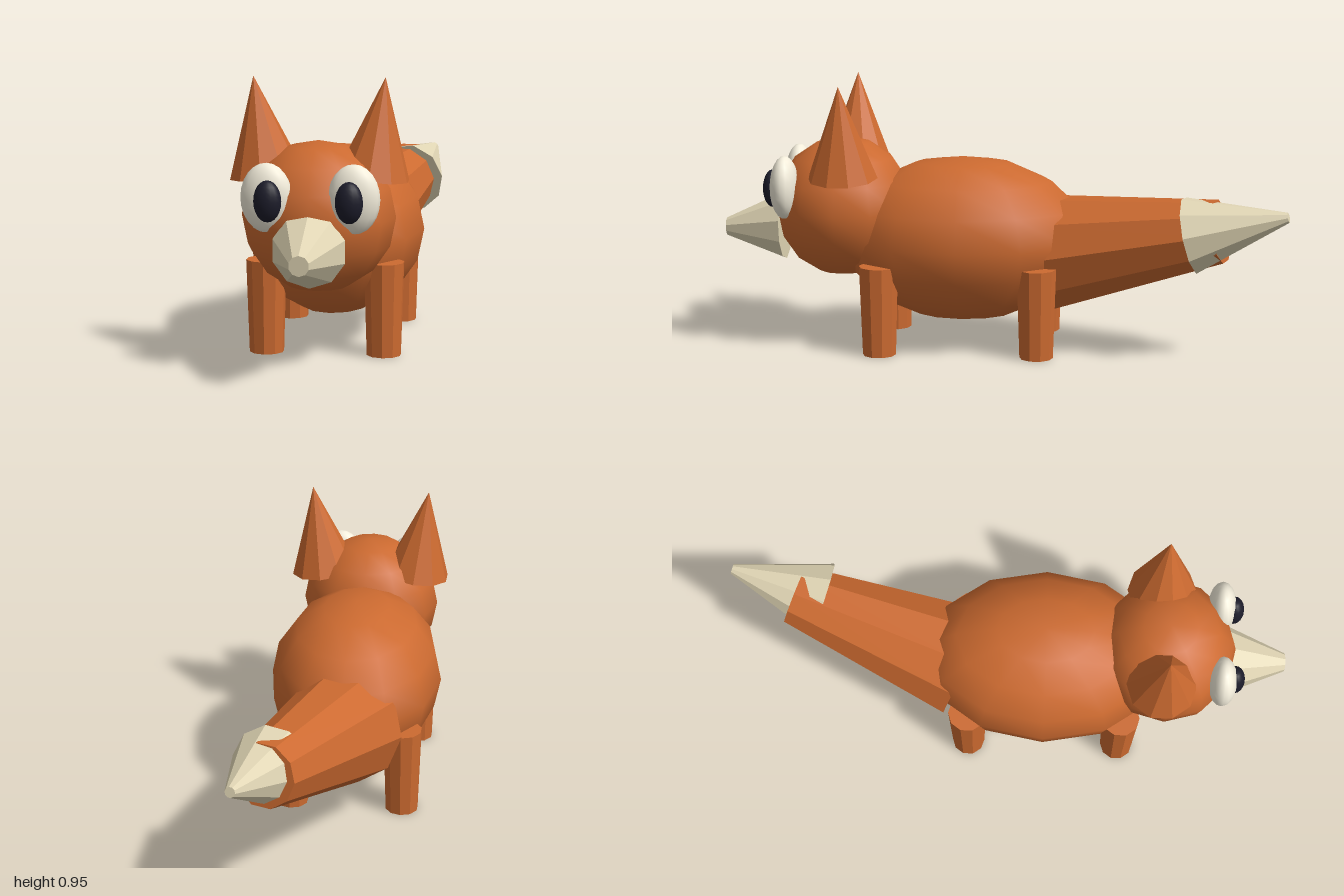
import * as THREE from 'three';

const smooth = (color) => new THREE.MeshStandardMaterial({ color });
const flat = (color) => {
  const m = smooth(color);
  m.flatShading = true;
  return m;
};

const ORANGE = 0xcc6a30, CREAM = 0xe0d5b4, WHITE = 0xf2ecda, DARK = 0x1c1c2a;
const furSmooth = smooth(ORANGE), fur = flat(ORANGE), cream = flat(CREAM);
const eyeWhite = smooth(WHITE), dark = smooth(DARK);

// Smooth ellipsoid from centre and radii
function ellipsoid(name, material, center, radii, w, h) {
  const mesh = new THREE.Mesh(new THREE.SphereGeometry(1, w, h), material);
  mesh.name = name;
  mesh.position.set(...center);
  mesh.scale.set(...radii);
  return mesh;
}

// Faceted ten-sided cone or frustum running from point a to point b
function taper(name, material, a, b, ra, rb) {
  const from = new THREE.Vector3(...a), to = new THREE.Vector3(...b);
  const axis = to.clone().sub(from);
  const mesh = new THREE.Mesh(new THREE.CylinderGeometry(rb, ra, axis.length(), 10), material);
  mesh.name = name;
  mesh.position.copy(from).add(to).multiplyScalar(0.5);
  mesh.quaternion.setFromUnitVectors(new THREE.Vector3(0, 1, 0), axis.normalize());
  return mesh;
}

export function createModel() {
  const model = new THREE.Group();
  model.name = 'fox';

  // Body, head and snout
  model.add(
    ellipsoid('body', furSmooth, [0, 0.385, 0.14], [0.31, 0.295, 0.45], 12, 8),
    ellipsoid('head', furSmooth, [0, 0.495, 0.57], [0.255, 0.25, 0.25], 12, 8),
    taper('snout', cream, [0, 0.418, 0.79], [0, 0.41, 1], 0.122, 0.033)
  );

  // Tail bending to the left, with a pale tip pushed into its end
  model.add(
    taper('tail', fur, [-0.005, 0.335, -0.158], [0.185, 0.46, -0.77], 0.21, 0.112),
    taper('tailTip', cream, [0.178, 0.443, -0.67], [0.25, 0.525, -0.996], 0.137, 0.018)
  );

  // Mirrored pairs
  for (const [side, s] of [['left', 1], ['right', -1]]) {
    model.add(
      taper(side + 'Ear', fur, [s * 0.175, 0.625, 0.545], [s * 0.217, 0.95, 0.55], 0.123, 0),
      ellipsoid(side + 'Eye', eyeWhite, [s * 0.14, 0.582, 0.76], [0.084, 0.112, 0.05], 16, 12),
      ellipsoid(side + 'Pupil', dark, [s * 0.13, 0.577, 0.803], [0.045, 0.067, 0.035], 16, 12)
    );
    for (const [end, z] of [['Front', 0.42], ['Back', -0.135]]) {
      model.add(taper(side + end + 'Leg', fur, [s * 0.2, 0, z], [s * 0.2, 0.318, z], 0.059, 0.069));
    }
  }
  return model;
}
